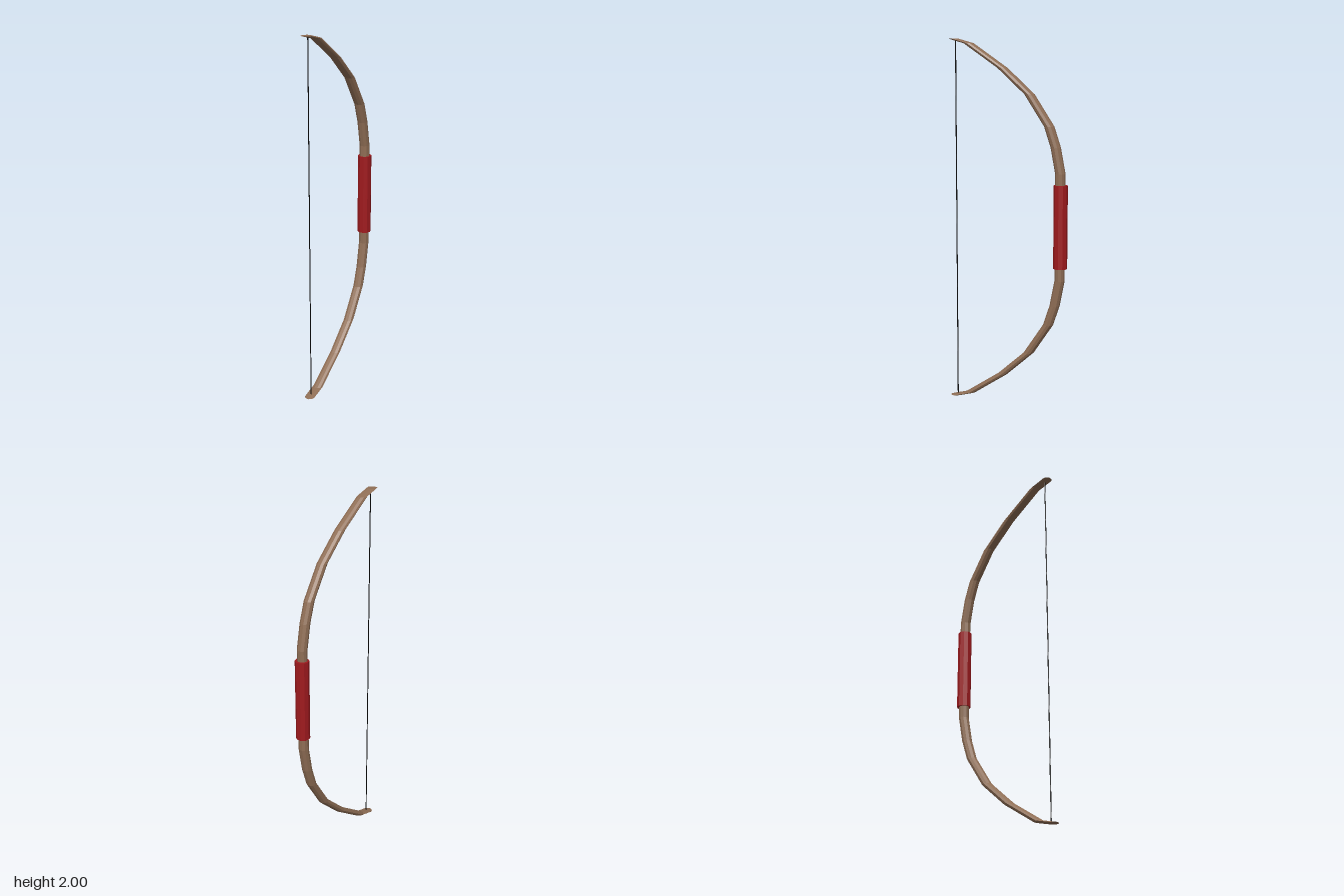
import * as THREE from 'three';

const SIDES = 10;

function column(name, radius, height, rows, color, sides = SIDES) {
  const geometry = new THREE.CylinderGeometry(
    radius, radius, height, sides, rows, false, Math.PI / sides, Math.PI * 2);
  const mesh = new THREE.Mesh(
    geometry, new THREE.MeshStandardMaterial({ color, flatShading: true }));
  mesh.name = name;
  return mesh;
}

export function createModel() {
  const bow = new THREE.Group();
  bow.name = 'bow';

  // Upper limb centre line as [y, z], tip first; the lower limb mirrors it about y = 1
  const upper = [
    [2, 0.314], [1.975, 0.223], [1.845, 0.027], [1.708, -0.127],
    [1.54, -0.239], [1.43, -0.276], [1.29, -0.303],
  ];
  const path = [...upper, ...upper.map(([y, z]) => [2 - y, z]).reverse()];

  // Stave: a column whose level rings slide along the centre line
  const rows = path.length - 1;
  const stave = column('stave', 0.0277, rows, rows, 0x8f6e55);
  const pos = stave.geometry.attributes.position;
  for (let i = 0; i < pos.count; i++) {
    const [y, z] = path[Math.round(rows / 2 - pos.getY(i))];
    pos.setY(i, y);
    pos.setZ(i, pos.getZ(i) + z);
  }
  stave.geometry.computeVertexNormals();
  bow.add(stave);

  // Wrapped grip
  const grip = column('grip', 0.0378, 0.452, 1, 0xa01a1e);
  grip.position.set(0, 1.003, -0.306);
  bow.add(grip);

  // Bowstring between the two tips
  const string = column('bowstring', 0.003, 1.99, 1, 0x050505, 6);
  string.position.set(0, 1, 0.3);
  bow.add(string);

  return bow;
}
